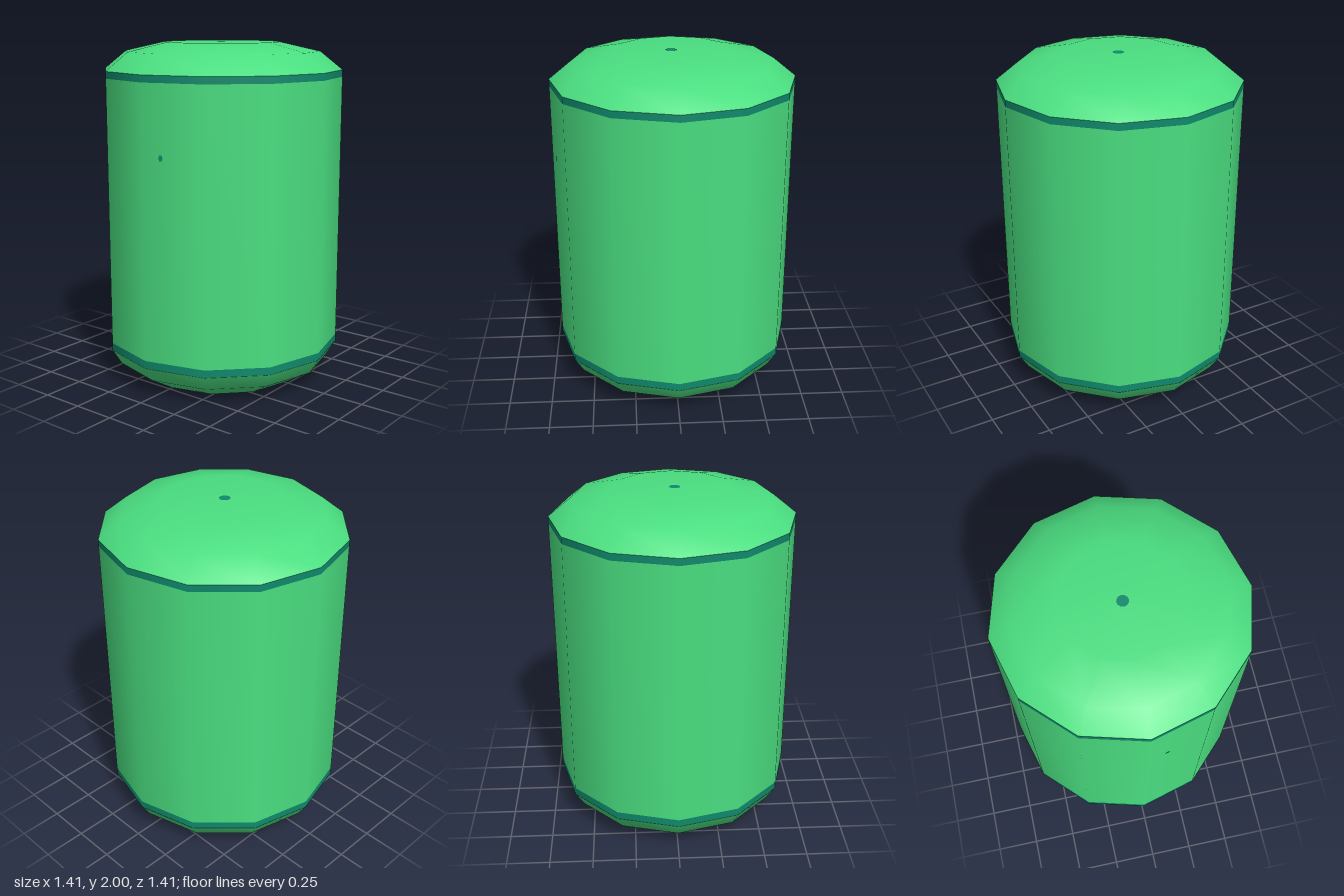
import * as THREE from 'three';

const SIDES = 12;
const R = 0.705;

export function createModel() {
  const model = new THREE.Group();
  const green = new THREE.MeshStandardMaterial({ color: 0x4ade80 });
  green.name = 'lightGreen';
  const teal = new THREE.MeshStandardMaterial({ color: 0x0f8a6c });
  teal.name = 'darkTeal';

  const add = (name, geometry, material) => {
    const mesh = new THREE.Mesh(geometry, material);
    mesh.name = name;
    model.add(mesh);
    return mesh;
  };
  // Profiles are [radius, height] pairs from bottom to top
  const turned = (name, profile, material) =>
    add(name, new THREE.LatheGeometry(profile.map(([r, y]) => new THREE.Vector2(r, y)), SIDES), material);

  // Rounded ends, wall and the two bands
  turned('bottomCap', [[0, 0], [0.48, 0], [0.65, 0.1], [R, 0.19]], green);
  turned('lowerBand', [[R, 0.19], [R, 0.235]], teal);
  turned('body', [[R, 0.235], [R, 1.8]], green);
  turned('upperBand', [[R, 1.8], [R, 1.84]], teal);
  turned('topCap', [[R, 1.84], [0.575, 1.945], [0.34, 1.998], [0, 1.998]], green);

  // Small dots at the centre of each end
  const topDot = add('topDot', new THREE.CircleGeometry(0.033, 12), teal);
  topDot.rotation.x = -Math.PI / 2;
  topDot.position.set(0.004, 2, 0.01);
  const bottomDot = add('bottomDot', new THREE.CircleGeometry(0.036, 12), teal);
  bottomDot.rotation.x = Math.PI / 2;
  bottomDot.position.set(0, -0.002, 0);

  // Tiny fleck lying on the front wall facet
  const fleck = add('frontFleck', new THREE.CircleGeometry(0.013, 6), teal);
  const tilt = Math.PI / SIDES;
  fleck.rotation.y = tilt;
  fleck.scale.y = 1.5;
  fleck.position.set(0.11, 1.4, R - 0.11 * Math.tan(tilt) + 0.002);

  return model;
}
